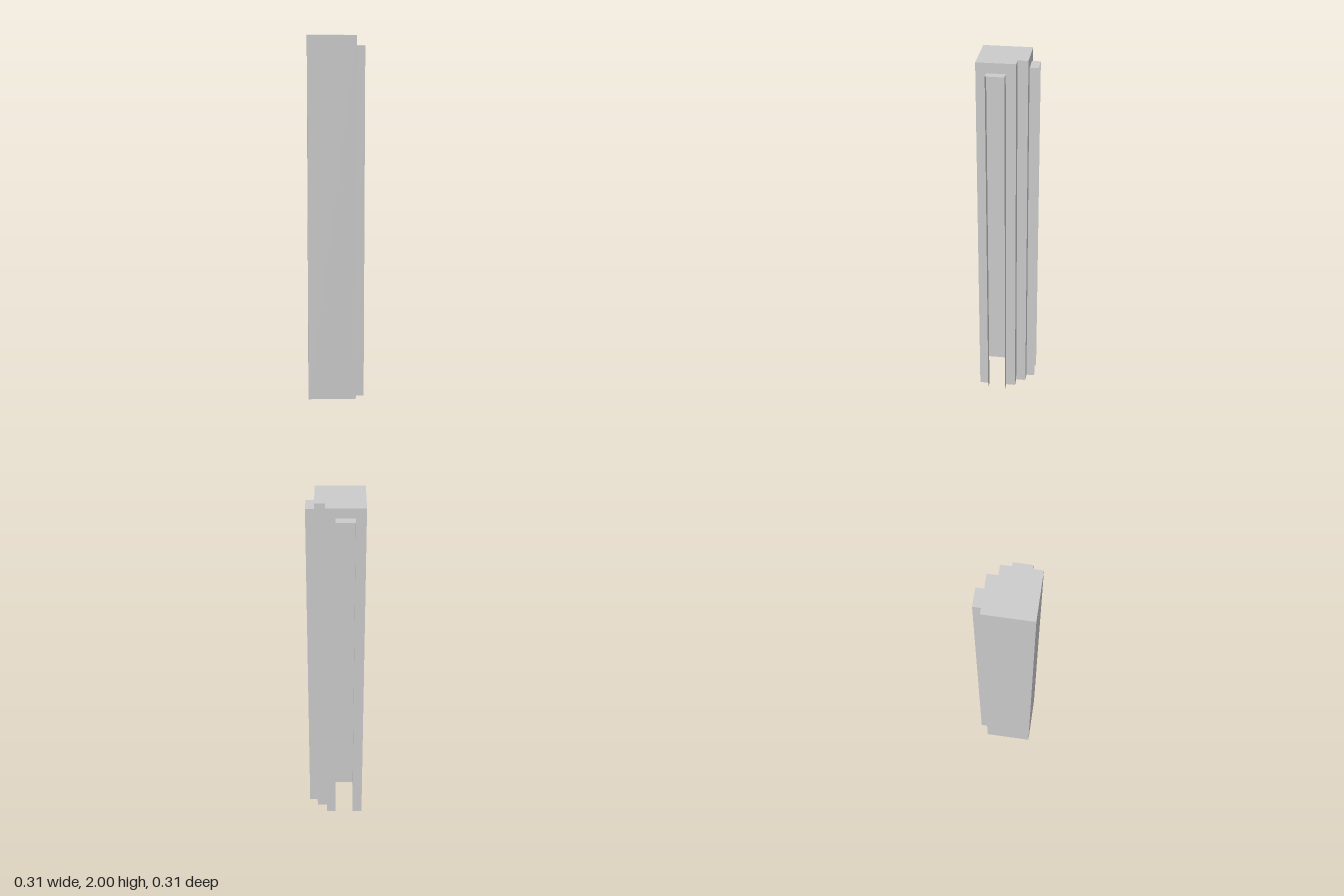
import * as THREE from 'three';

const TOP = 2, TAB_TOP = 1.945;   // heights of the post and its side channels
const OUT = 0.155, IN = 0.108, NOTCH = 0.053, SLOT = 0.1;

const material = new THREE.MeshStandardMaterial({
  color: 0xcccccc, side: THREE.DoubleSide, flatShading: true,
});

// Thin upright sheet from plan point a to plan point b, given as [x, z]
function wall(name, a, b, y0, y1) {
  const dx = b[0] - a[0], dz = b[1] - a[1];
  const mesh = new THREE.Mesh(new THREE.PlaneGeometry(Math.hypot(dx, dz), y1 - y0), material);
  mesh.position.set((a[0] + b[0]) / 2, (y0 + y1) / 2, (a[1] + b[1]) / 2);
  mesh.rotation.y = Math.atan2(-dz, dx);
  mesh.name = name;
  return mesh;
}

// Flat horizontal sheet with the given plan outline
function cap(name, points, y) {
  const shape = new THREE.Shape(points.map(([x, z]) => new THREE.Vector2(x, -z)));
  const mesh = new THREE.Mesh(new THREE.ShapeGeometry(shape).rotateX(-Math.PI / 2), material);
  mesh.position.y = y;
  mesh.name = name;
  return mesh;
}

export function createModel() {
  const model = new THREE.Group();
  model.name = 'cornerPost';

  // Body outline, counterclockwise from above; the two slot spans are only closed at the top
  const outline = [
    [-SLOT, -IN], [-OUT, -IN], [-OUT, OUT], [IN, OUT], [IN, SLOT],
    [IN, 0], [IN, -NOTCH], [NOTCH, -NOTCH], [NOTCH, -IN], [0, -IN],
  ];
  const slots = [4, 9];
  outline.forEach((a, i) => {
    const b = outline[(i + 1) % outline.length];
    const open = slots.includes(i);
    model.add(wall(open ? 'slotHeader' : 'bodyWall', a, b, open ? TAB_TOP : 0, TOP));
  });
  model.add(cap('bodyTop', outline, TOP));

  // Channels: two cheeks and a lid, open outward, inward and at the bottom
  const channels = {
    leftChannel: [[IN, SLOT], [OUT, SLOT], [OUT, 0], [IN, 0]],
    backChannel: [[0, -IN], [0, -OUT], [-SLOT, -OUT], [-SLOT, -IN]],
  };
  for (const [name, p] of Object.entries(channels)) {
    const channel = new THREE.Group();
    channel.name = name;
    channel.add(
      wall('cheek', p[0], p[1], 0, TAB_TOP),
      wall('cheek', p[2], p[3], 0, TAB_TOP),
      cap('channelLid', p, TAB_TOP),
    );
    model.add(channel);
  }
  return model;
}
